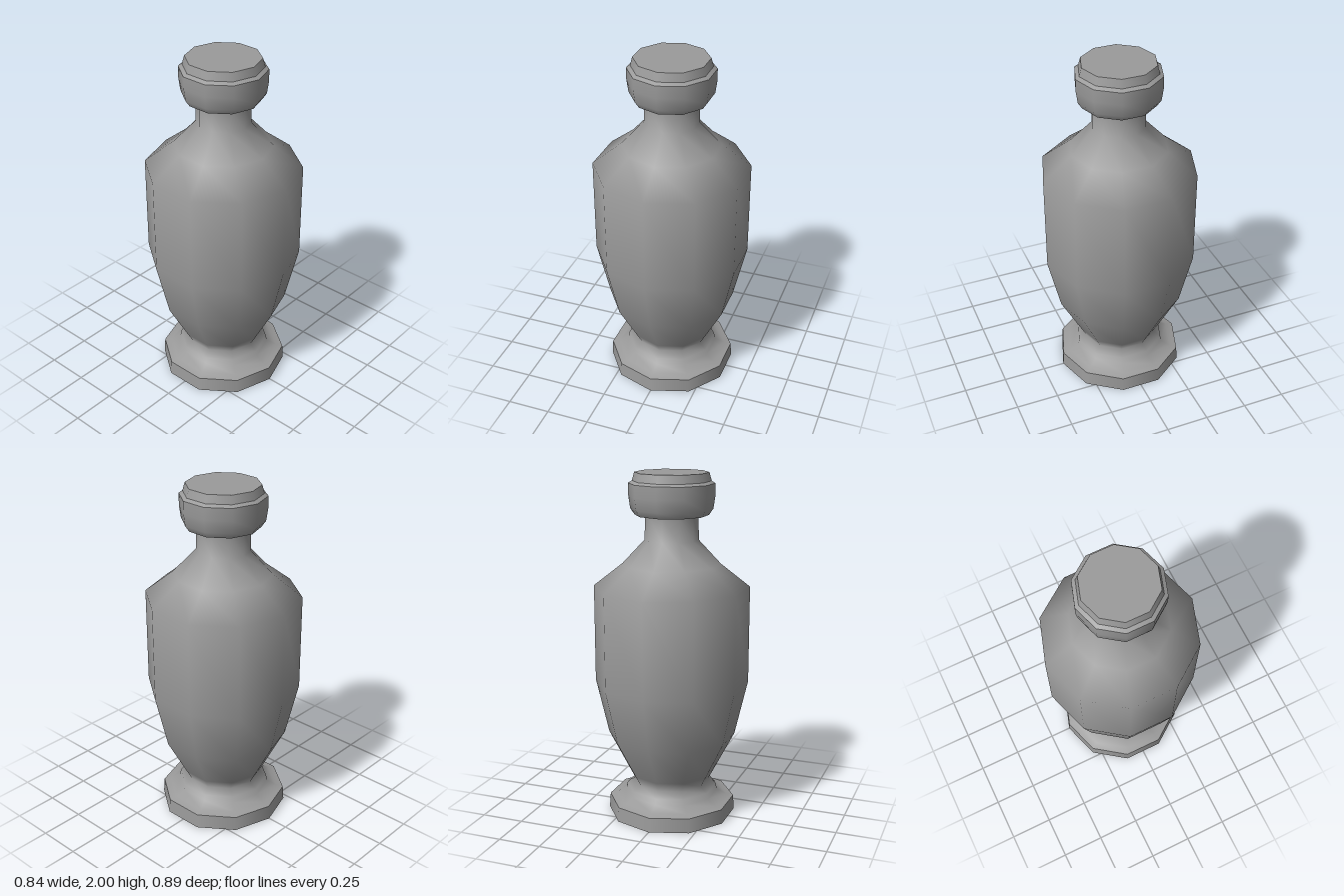
import * as THREE from 'three';

const SIDES = 10;
const material = new THREE.MeshStandardMaterial({ color: 0x9b9b9b });

// Each strip is a smooth run of [radius, height]; edges between strips stay sharp.
function turned(name, strips) {
  const part = new THREE.Group();
  part.name = name;
  strips.forEach((strip, i) => {
    const points = strip.map(([r, y]) => new THREE.Vector2(r, y));
    const geometry = new THREE.LatheGeometry(points, SIDES);
    geometry.normalizeNormals(); // the last ring of a lathe is not unit length
    const mesh = new THREE.Mesh(geometry, material);
    mesh.name = name + 'Surface' + (i + 1);
    part.add(mesh);
  });
  return part;
}

export function createModel() {
  const model = new THREE.Group();
  model.name = 'vase';

  // Plinth with a flat underside
  model.add(turned('base', [
    [[0, 0], [0.374, 0]],
    [[0.374, 0], [0.368, 0.085]],
  ]));

  // Stepped foot flowing into the swelling body, sloped shoulder and straight neck
  model.add(turned('body', [
    [[0.368, 0.085], [0.325, 0.095], [0.27, 0.125], [0.264, 0.16], [0.218, 0.19],
      [0.25, 0.25], [0.37, 0.48], [0.444, 0.80], [0.444, 1.36],
      [0.278, 1.49], [0.152, 1.625], [0.15, 1.765]],
  ]));

  // Overhanging collar
  model.add(turned('collar', [
    [[0.15, 1.765], [0.208, 1.765]],
    [[0.208, 1.765], [0.232, 1.80], [0.242, 1.87], [0.242, 1.94]],
    [[0.242, 1.94], [0.221, 1.953]],
  ]));

  // Low stopper with a flat top
  model.add(turned('stopper', [
    [[0.221, 1.953], [0.208, 2]],
    [[0.208, 2], [0, 2]],
  ]));

  return model;
}
